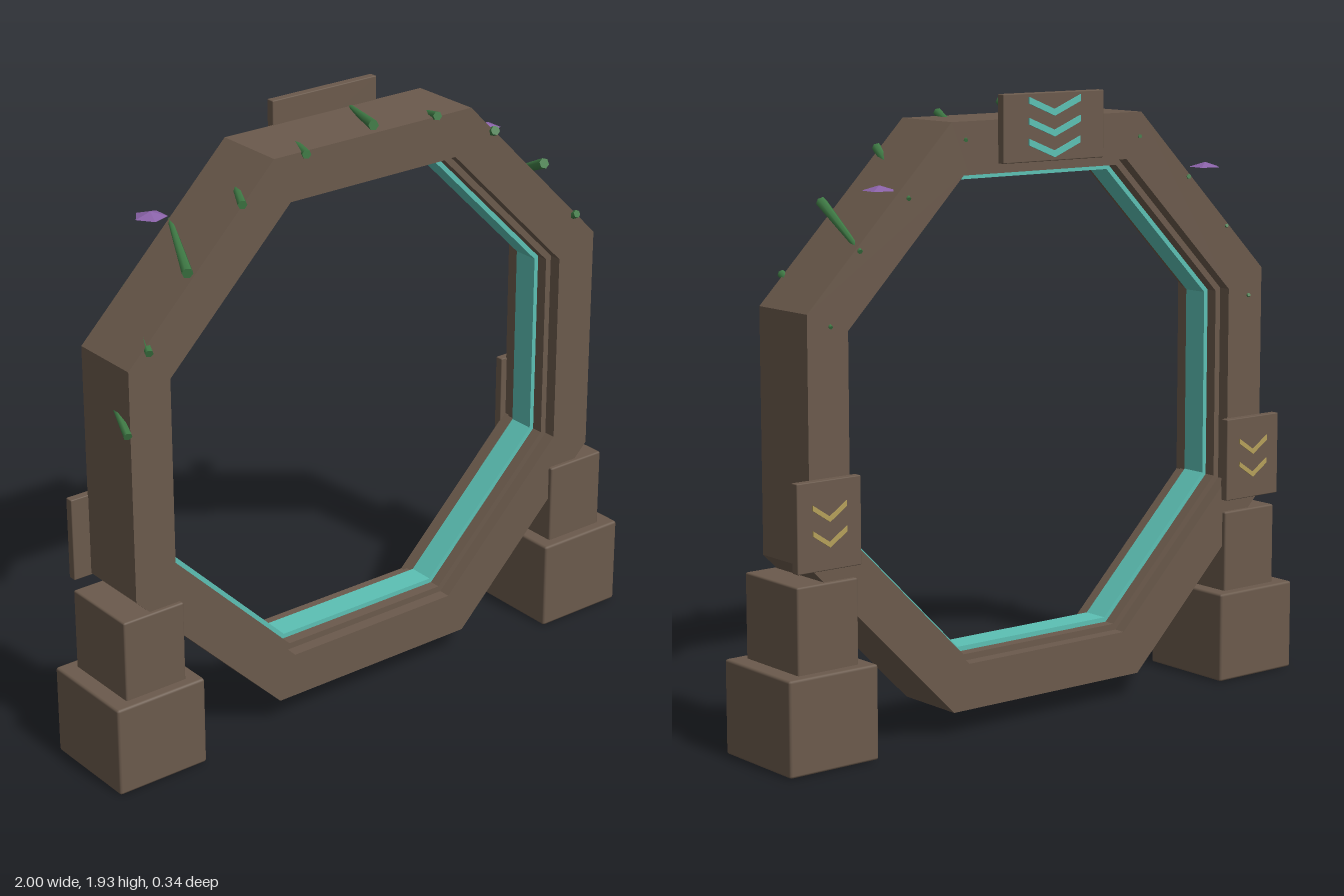
import * as THREE from 'three';
import { RoundedBoxGeometry } from 'three/addons/geometries/RoundedBoxGeometry.js';

const mat = (name, color) => {
  const m = new THREE.MeshStandardMaterial({ color });
  m.name = name;
  return m;
};

export function createModel() {
  const stone = mat('brown stone', 0x6b5a4c);
  const teal = mat('teal glow', 0x5cc0b4);
  const gold = mat('dull gold', 0xb59f5a);
  const green = mat('vine green', 0x3f7a45);
  const purple = mat('petal purple', 0x8a62a8);

  const model = new THREE.Group();
  model.name = 'octagonalGate';
  const CY = 0.965; // height of the ring centre

  const add = (name, geometry, material, x = 0, y = 0, z = 0, parent = model) => {
    const mesh = new THREE.Mesh(geometry, material);
    mesh.name = name;
    mesh.position.set(x, y, z);
    parent.add(mesh);
    return mesh;
  };

  // Octagonal rings, sized by the distance from centre to flat side
  const octagon = (apothem) => Array.from({ length: 8 }, (_, i) => {
    const a = (i + 0.5) * Math.PI / 4;
    const r = apothem / Math.cos(Math.PI / 8);
    return new THREE.Vector2(r * Math.cos(a), r * Math.sin(a));
  });
  const ring = (name, outer, inner, depth, material) => {
    const shape = new THREE.Shape(octagon(outer));
    shape.holes.push(new THREE.Path(octagon(inner).reverse()));
    const geo = new THREE.ExtrudeGeometry(shape, { depth, bevelEnabled: false });
    geo.translate(0, 0, -depth / 2);
    add(name, geo, material, 0, CY, 0);
  };
  ring('mainRing', 0.89, 0.747, 0.24, stone);
  ring('innerTrim', 0.76, 0.727, 0.16, stone);
  ring('glowStrip', 0.74, 0.712, 0.085, teal);

  // Downward chevrons on the back of a plate
  const chevrons = (parent, count, halfWidth, drop, thick, pitch, material) => {
    const shape = new THREE.Shape([
      [-halfWidth, drop / 2], [0, -drop / 2], [halfWidth, drop / 2],
      [halfWidth, drop / 2 + thick], [0, -drop / 2 + thick], [-halfWidth, drop / 2 + thick],
    ].map(([x, y]) => new THREE.Vector2(x, y)));
    const geo = new THREE.ExtrudeGeometry(shape, { depth: 0.008, bevelEnabled: false });
    for (let i = 0; i < count; i++) {
      const y = (i - (count - 1) / 2) * pitch - thick / 2;
      add('chevron', geo, material, 0, y, -0.018, parent);
    }
  };
  const plate = (name, w, h, x, y) => {
    const group = new THREE.Group();
    group.name = name;
    group.position.set(x, y, -0.131);
    add('plateSlab', new RoundedBoxGeometry(w, h, 0.028, 1, 0.003), stone, 0, 0, 0, group);
    model.add(group);
    return group;
  };
  chevrons(plate('topPlate', 0.39, 0.205, 0, 1.8275), 3, 0.1, 0.04, 0.02, 0.062, teal);

  // Feet, side plates and flowers on both sides
  for (const s of [-1, 1]) {
    add('footBase', new RoundedBoxGeometry(0.315, 0.29, 0.336, 1, 0.008), stone, s * 0.8425, 0.145, 0);
    add('footBlock', new RoundedBoxGeometry(0.215, 0.27, 0.268, 1, 0.006), stone, s * 0.838, 0.415, 0);
    chevrons(plate('sidePlate', 0.225, 0.265, s * 0.8375, 0.7225), 2, 0.06, 0.04, 0.016, 0.075, gold);
    const petal = new THREE.ConeGeometry(0.051, 0.015, 5, 1, false, -Math.PI / 2).toNonIndexed();
    petal.computeVertexNormals();
    add('flower', petal, purple, s * 0.635, 1.679, -0.123);
  }

  // Tapered vines running from front to back: x, y at the front, x, y at the back, radius
  const vines = [
    [-0.69, 1.59, -0.565, 1.645, 0.017], [0.655, 1.62, 0.705, 1.50, 0.017],
    [-0.02, 1.887, 0.1, 1.85, 0.016], [-0.495, 1.75, -0.36, 1.78, 0.014],
    [-0.265, 1.851, -0.16, 1.835, 0.014], [0.223, 1.864, 0.32, 1.80, 0.014],
    [0.452, 1.77, 0.53, 1.64, 0.015], [0.80, 1.42, 0.81, 1.29, 0.013],
    [-0.91, 1.145, -0.83, 1.25, 0.014], [-0.828, 1.38, -0.73, 1.48, 0.013],
  ];
  for (const [x0, y0, x1, y1, r] of vines) {
    const front = new THREE.Vector3(x0, y0, 0.137);
    const back = new THREE.Vector3(x1, y1, -0.126);
    const dir = front.clone().sub(back);
    const geo = new THREE.CylinderGeometry(r, r * 0.45, dir.length(), 6);
    const mid = front.clone().add(back).multiplyScalar(0.5);
    add('vine', geo, green, mid.x, mid.y, mid.z)
      .quaternion.setFromUnitVectors(new THREE.Vector3(0, 1, 0), dir.normalize());
  }
  return model;
}
